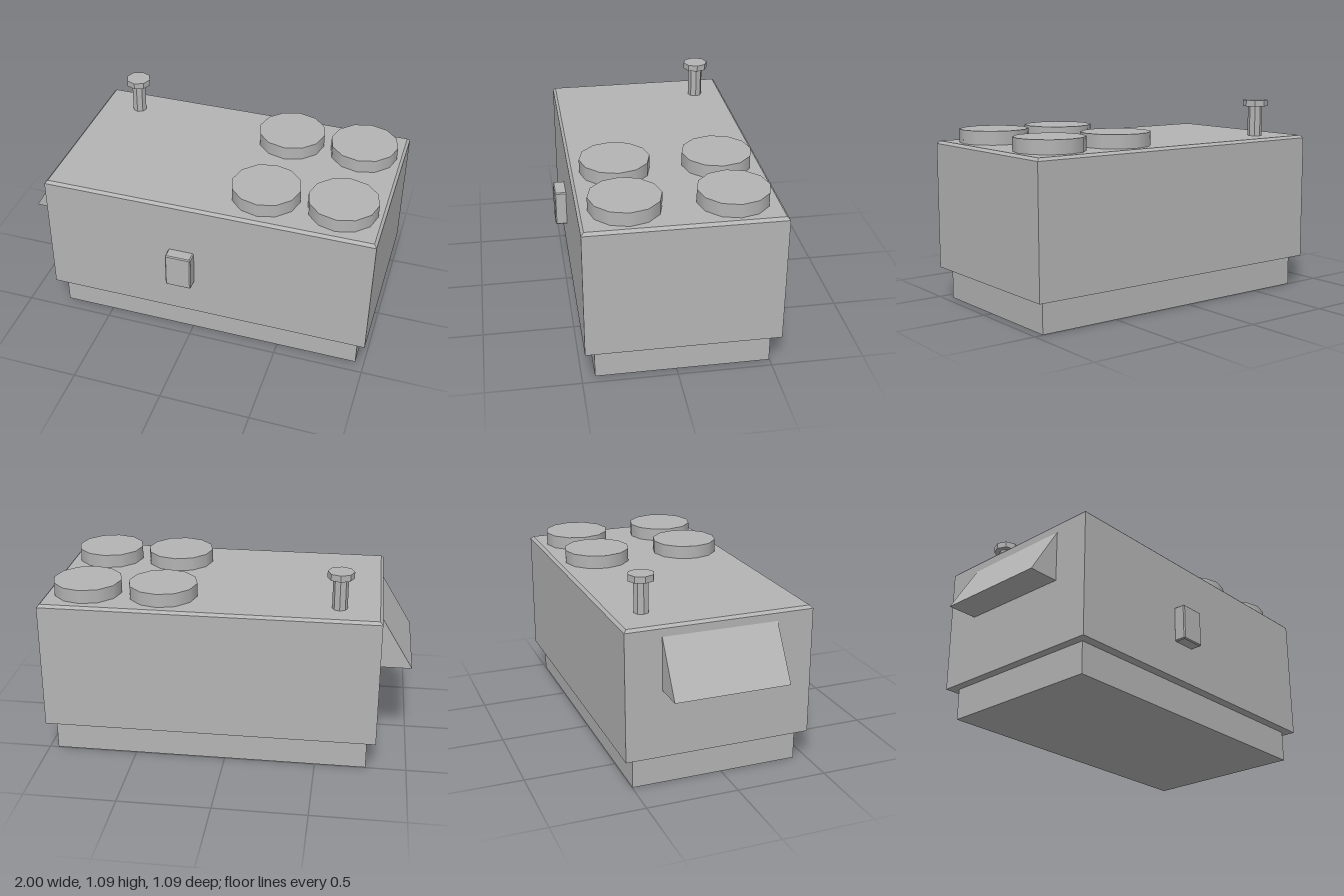
import * as THREE from 'three';
import { ConvexGeometry } from 'three/addons/geometries/ConvexGeometry.js';

const casing = new THREE.MeshStandardMaterial({ color: 0xb4b4b4 });
casing.name = 'casingGrey';
const facetedCasing = casing;

// Box given by its min and max corners
function boxBetween([x0, y0, z0], [x1, y1, z1]) {
  const g = new THREE.BoxGeometry(x1 - x0, y1 - y0, z1 - z0);
  return g.translate((x0 + x1) / 2, (y0 + y1) / 2, (z0 + z1) / 2);
}

// Box with only its top rim chamfered
function topChamferBox([x0, y0, z0], [x1, y1, z1], c) {
  const points = [];
  for (const [y, inset] of [[y0, 0], [y1 - c, 0], [y1, c]])
    for (const x of [x0 + inset, x1 - inset])
      for (const z of [z0 + inset, z1 - inset]) points.push(new THREE.Vector3(x, y, z));
  return new ConvexGeometry(points);
}

// Box with every edge chamfered
function chamferBox(w, h, d, c) {
  const points = [];
  for (const sx of [-1, 1]) for (const sy of [-1, 1]) for (const sz of [-1, 1])
    for (let axis = 0; axis < 3; axis++) {
      const inset = [c, c, c];
      inset[axis] = 0;
      points.push(new THREE.Vector3(
        sx * (w / 2 - inset[0]), sy * (h / 2 - inset[1]), sz * (d / 2 - inset[2])));
    }
  return new ConvexGeometry(points);
}

// Upright cylinder between two heights
function drum(radius, y0, y1, sides, flat) {
  let g = new THREE.CylinderGeometry(radius, radius, y1 - y0, sides);
  if (flat) {
    g = g.toNonIndexed();
    g.computeVertexNormals();
  }
  return g.translate(0, (y0 + y1) / 2, 0);
}

export function createModel() {
  const model = new THREE.Group();
  model.name = 'generatorUnit';
  const add = (name, geometry, x = 0, y = 0, z = 0, material = casing) => {
    const mesh = new THREE.Mesh(geometry, material);
    mesh.name = name;
    mesh.position.set(x, y, z);
    model.add(mesh);
    return mesh;
  };

  // Recessed plinth and main housing
  add('plinth', boxBetween([-0.78, 0, -0.497], [0.952, 0.174, 0.43]));
  add('housing', topChamferBox([-0.828, 0.174, -0.547], [1, 0.888, 0.482], 0.015));

  // Four roof fans
  for (const x of [0.358, 0.775])
    for (const z of [-0.309, 0.241])
      add('roofFan', drum(0.188, 0.88, 0.962, 12, false), x, 0, z);

  // Exhaust pipe with a wider cap
  add('exhaustPipe', drum(0.041, 0.88, 1.059, 8, true), -0.6, 0, -0.377, facetedCasing);
  add('exhaustCap', drum(0.071, 1.059, 1.094, 8, true), -0.6, 0, -0.377, facetedCasing);

  // Sloping intake hood on the end wall
  const profile = new THREE.Shape([
    new THREE.Vector2(-1, 0.545),
    new THREE.Vector2(-0.82, 0.545),
    new THREE.Vector2(-0.82, 0.843),
  ]);
  const hood = new THREE.ExtrudeGeometry(profile, { depth: 0.63, bevelEnabled: false });
  add('intakeHood', hood, 0, 0, -0.35);

  // Control box on the front wall
  add('controlBox', chamferBox(0.145, 0.203, 0.07, 0.006), -0.046, 0.49, 0.512);

  return model;
}
